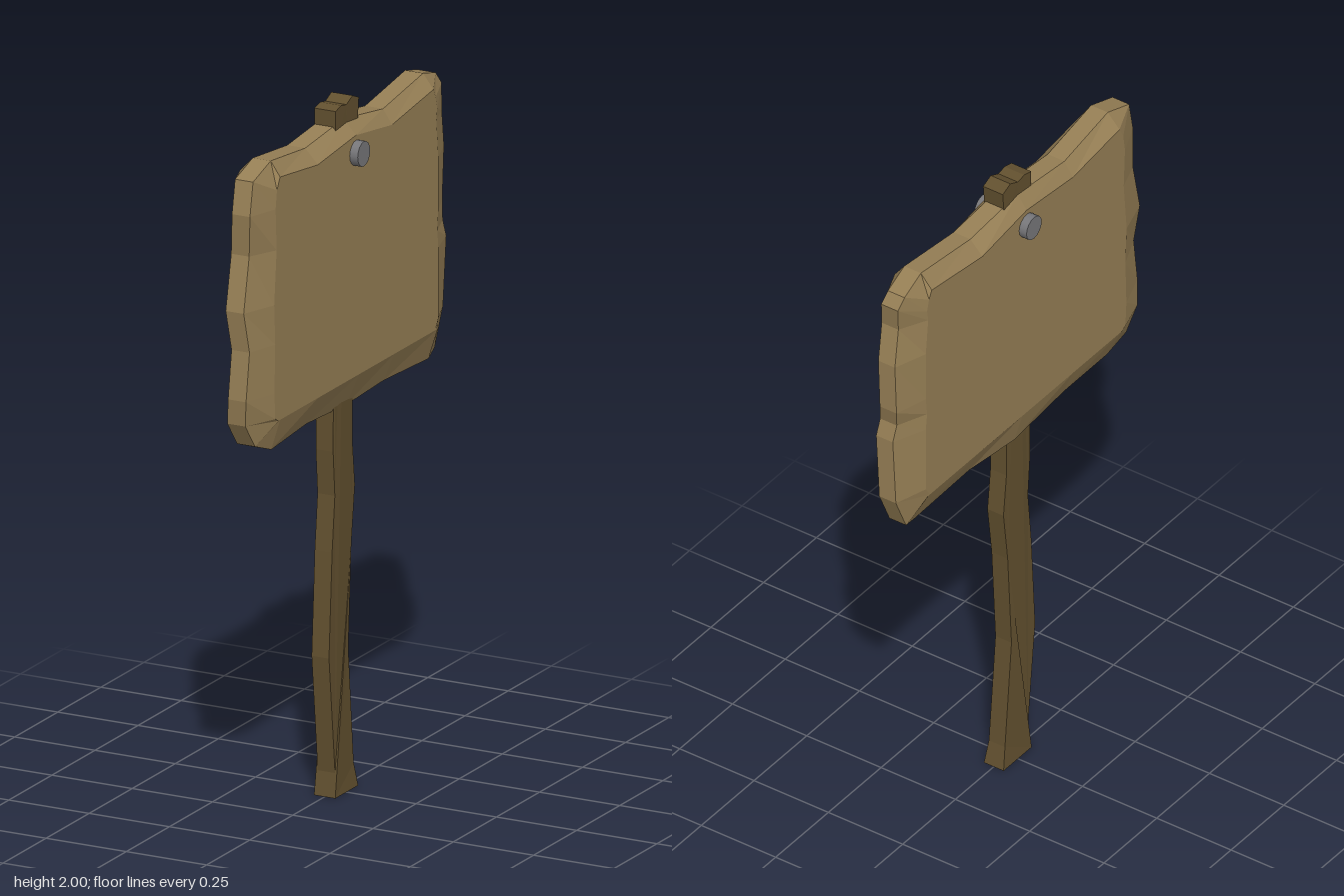
import * as THREE from 'three';

const wood = (color) => new THREE.MeshStandardMaterial({ color, flatShading: true });

// Chipped plank: rings of one (z, y) outline, chamfered towards both broad faces
function plankGeometry() {
  const outline = [
    [0.54, 1.915], [0.44, 1.948], [0.22, 1.92], [0, 1.942], [-0.21, 1.912], [-0.45, 1.945], [-0.54, 1.92],
    [-0.563, 1.885], [-0.55, 1.81], [-0.578, 1.70], [-0.578, 1.545], [-0.563, 1.49], [-0.578, 1.44],
    [-0.578, 1.235], [-0.53, 1.13], [-0.475, 1.115], [-0.22, 1.125], [-0.02, 1.11], [0.22, 1.125],
    [0.44, 1.115], [0.52, 1.145], [0.565, 1.215], [0.577, 1.29], [0.565, 1.43], [0.58, 1.545],
    [0.545, 1.70], [0.56, 1.82]];
  const inset = ([z, y]) => [
    THREE.MathUtils.clamp(z, -0.475, 0.47) + (Math.abs(z) > 0.5 ? (Math.abs(z) - 0.57) * 0.4 * Math.sign(z) : 0),
    y > 1.88 ? y - 0.042 : Math.max(y, 1.205)];
  const n = outline.length, pos = [], index = [];
  for (const [x, isFace] of [[-0.0625, true], [-0.028, false], [0.028, false], [0.0625, true]]) {
    outline.forEach((p, i) => {
      const [z, y] = isFace ? inset(p) : p;
      const wobble = isFace ? 0 : 0.007 * Math.sin(i * 1.7 + 0.6);
      pos.push(x + wobble, y, z);
    });
  }
  pos.push(-0.0625, 1.55, 0, 0.0625, 1.55, 0);
  for (let i = 0; i < n; i++) {
    const j = (i + 1) % n;
    for (let k = 0; k < 3; k++) {
      const a = k * n + i, b = k * n + j;
      index.push(a, a + n, b, b, a + n, b + n);
    }
    index.push(4 * n, i, j, 4 * n + 1, 3 * n + j, 3 * n + i);
  }
  const g = new THREE.BufferGeometry();
  g.setAttribute('position', new THREE.Float32BufferAttribute(pos, 3));
  g.setIndex(index);
  const flat = g.toNonIndexed();
  flat.computeVertexNormals();
  return flat;
}

// Crooked post: side profile extruded across x, flared at the foot and the head
function postGeometry() {
  const stations = [
    [0, 0.065, -0.068], [0.07, 0.055, -0.053], [0.41, 0.09, -0.022], [0.71, 0.072, -0.04],
    [0.87, 0.056, -0.06], [1.0, 0.066, -0.046], [1.12, 0.065, -0.046], [1.88, 0.062, -0.062]];
  const head = [[-0.072, 1.985], [-0.036, 2.0], [0, 1.984], [0.03, 1.99], [0.063, 1.982]];
  const profile = [
    ...stations.map(([y, , back]) => [back, y]),
    ...head,
    ...stations.slice().reverse().map(([y, front]) => [front, y])];
  const shape = new THREE.Shape(profile.map(([z, y]) => new THREE.Vector2(z, y)));
  const g = new THREE.ExtrudeGeometry(shape, { depth: 2, bevelEnabled: false });
  g.translate(0, 0, -1).rotateY(-Math.PI / 2);
  const p = g.attributes.position;
  for (let i = 0; i < p.count; i++) {
    const y = p.getY(i);
    const half = y < 0.03 || y > 1.8 ? 0.033 : 0.027;
    p.setX(i, p.getX(i) * half);
  }
  g.computeVertexNormals();
  return g;
}

export function createModel() {
  const group = new THREE.Group();
  const add = (name, geometry, material) => {
    const mesh = new THREE.Mesh(geometry, material);
    mesh.name = name;
    group.add(mesh);
    return mesh;
  };
  add('signBoard', plankGeometry(), wood(0x967f55));
  add('post', postGeometry(), wood(0x62502f));

  // Peg running through the board and the post
  const peg = new THREE.CylinderGeometry(0.036, 0.036, 0.175, 16).rotateZ(Math.PI / 2);
  add('peg', peg, new THREE.MeshStandardMaterial({ color: 0x77777a })).position.set(0, 1.85, 0);
  return group;
}
